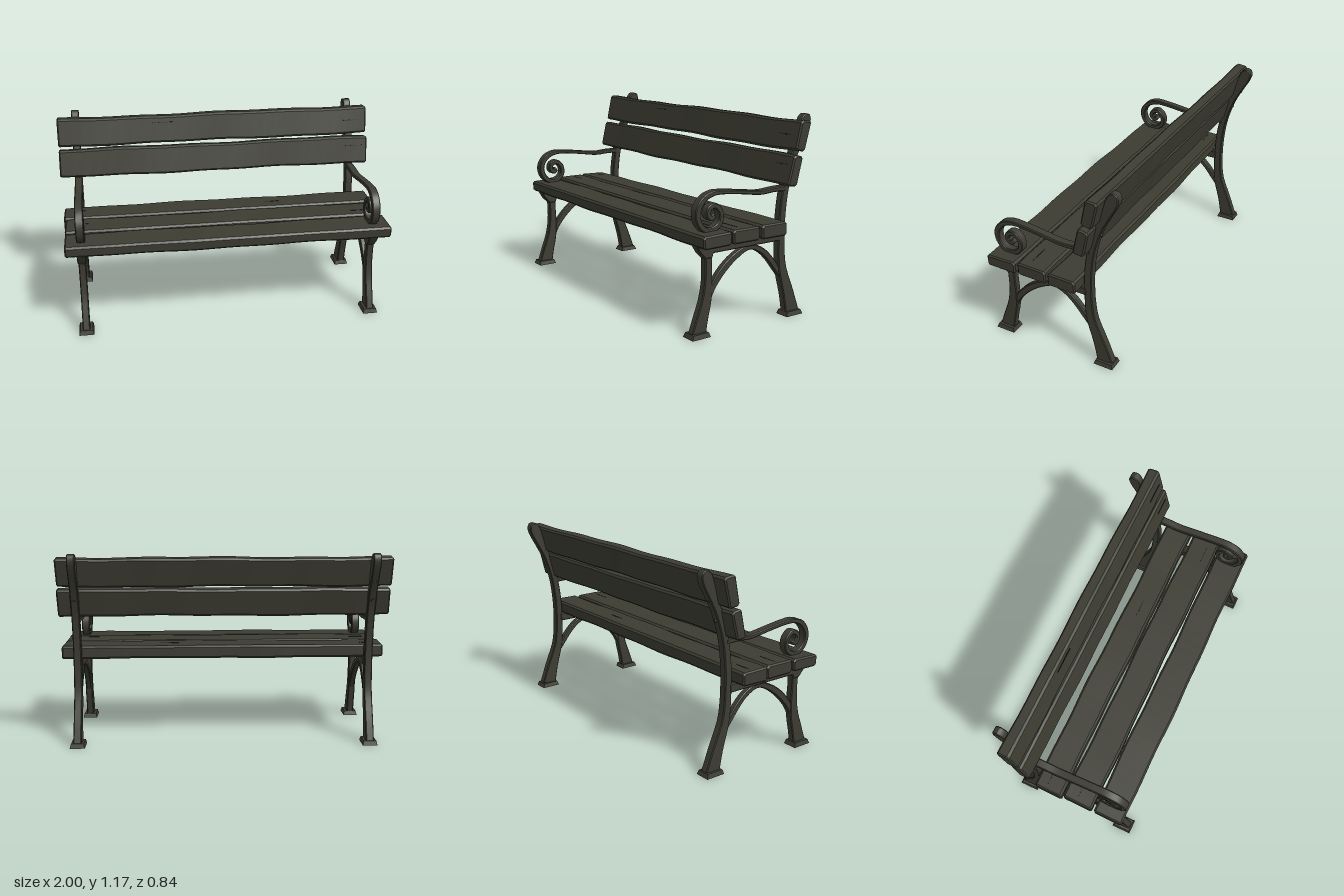
import * as THREE from 'three';
import { toCreasedNormals } from 'three/addons/utils/BufferGeometryUtils.js';

const paint = new THREE.MeshStandardMaterial({ color: 0x3c3c32 });
paint.name = 'weathered olive paint';
const dark = new THREE.MeshStandardMaterial({ color: 0x23231d });
dark.name = 'dark crack';

function addMesh(parent, name, geometry, material = paint) {
  const mesh = new THREE.Mesh(geometry, material);
  mesh.name = name;
  parent.add(mesh);
  return mesh;
}

// Extrude a side outline of [z, y] points along x, centred on x = 0
function sideExtrude(points, width, bevel, steps = 1) {
  const shape = new THREE.Shape(points.map(([z, y]) => new THREE.Vector2(z, y)));
  const depth = width - 2 * bevel;
  const geometry = new THREE.ExtrudeGeometry(shape, {
    depth, steps, bevelEnabled: true, bevelThickness: bevel,
    bevelSize: bevel, bevelOffset: -bevel, bevelSegments: 1,
  });
  geometry.translate(0, 0, -depth / 2);
  geometry.rotateY(-Math.PI / 2);
  return geometry;
}

// Iron bar following [z, y, barWidth] points
function bar(points, thickness, divisions = 28) {
  const curve = new THREE.CatmullRomCurve3(
    points.map(([z, y, w]) => new THREE.Vector3(z, y, w)), false, 'centripetal');
  const left = [], right = [];
  for (let i = 0; i <= divisions; i++) {
    const t = i / divisions;
    const p = curve.getPoint(t), d = curve.getTangent(t);
    const len = Math.hypot(d.x, d.y) || 1;
    const nx = -d.y / len * p.z / 2, ny = d.x / len * p.z / 2;
    left.push([p.x + nx, p.y + ny]);
    right.unshift([p.x - nx, p.y - ny]);
  }
  return toCreasedNormals(sideExtrude([...left, ...right], thickness, 0.005), 0.5);
}

// Rough-hewn plank: chamfered cross-section with wandering edges
function plank(corners, length, seed) {
  const outline = [];
  corners.forEach((c, i) => {
    for (const step of [3, 1]) {
      const n = corners[(i + step) % 4];
      const d = Math.hypot(n[0] - c[0], n[1] - c[1]);
      outline.push([c[0] + (n[0] - c[0]) * 0.012 / d, c[1] + (n[1] - c[1]) * 0.012 / d]);
    }
  });
  const geometry = sideExtrude(outline, length, 0.008, 26);
  const cz = corners.reduce((s, c) => s + c[0], 0) / 4;
  const cy = corners.reduce((s, c) => s + c[1], 0) / 4;
  const pos = geometry.attributes.position;
  for (let i = 0; i < pos.count; i++) {
    const x = pos.getX(i), dy = pos.getY(i) - cy, dz = pos.getZ(i) - cz;
    const phase = seed * 2.3 + (dz - dy > 0 ? 0 : 1.9);
    const k = 0.99 + 0.03 * Math.sin(x * 5.1 + phase) + 0.025 * Math.sin(x * 13 + phase * 2);
    const end = Math.abs(x) > length / 2 - 0.03 ? 0.006 * Math.sin(phase * 3 + x) - 0.006 : 0;
    pos.setXYZ(i, x + Math.sign(x) * end, cy + dy * k, cz + dz * k);
  }
  geometry.computeVertexNormals();
  return toCreasedNormals(geometry, 0.45);
}

// Thin sliver lying on a plank face
function crack(length, width) {
  const shape = new THREE.Shape([
    [-length / 2, 0], [-length * 0.1, -width / 2], [length / 2, width * 0.2], [length * 0.1, width / 2],
  ].map(([x, y]) => new THREE.Vector2(x, y)));
  return new THREE.ExtrudeGeometry(shape, { depth: 0.005, bevelEnabled: false });
}

// One cast-iron end frame
function endFrame() {
  const frame = new THREE.Group();
  addMesh(frame, 'backPost', bar([
    [-0.32, 0.015, 0.1], [-0.285, 0.14, 0.078], [-0.235, 0.29, 0.058], [-0.222, 0.4, 0.05],
    [-0.22, 0.52, 0.047], [-0.225, 0.63, 0.047], [-0.242, 0.75, 0.045], [-0.268, 0.85, 0.045],
    [-0.305, 0.95, 0.047], [-0.342, 1.03, 0.058], [-0.372, 1.1, 0.073], [-0.385, 1.135, 0.07],
    [-0.392, 1.158, 0.045], [-0.394, 1.166, 0.02],
  ], 0.048, 40));
  addMesh(frame, 'frontLeg', bar([
    [0.36, 0.015, 0.095], [0.338, 0.1, 0.08], [0.31, 0.2, 0.066], [0.299, 0.3, 0.052],
    [0.3, 0.4, 0.046], [0.302, 0.48, 0.055],
  ], 0.044));
  addMesh(frame, 'seatRail', sideExtrude([
    [0.385, 0.512], [0.36, 0.47], [0.325, 0.435], [0.28, 0.435], [0.27, 0.46],
    [-0.21, 0.46], [-0.21, 0.512],
  ], 0.054, 0.005));
  addMesh(frame, 'archBrace', bar([
    [0.3, 0.19, 0.03], [0.262, 0.27, 0.038], [0.19, 0.355, 0.042], [0.1, 0.42, 0.038],
    [0.01, 0.452, 0.03], [-0.07, 0.425, 0.034], [-0.14, 0.365, 0.036], [-0.195, 0.295, 0.034],
    [-0.235, 0.24, 0.025],
  ], 0.036));
  addMesh(frame, 'scrollArmrest', bar([
    [-0.24, 0.757, 0.03], [-0.15, 0.757, 0.026], [-0.06, 0.752, 0.025], [0.08, 0.77, 0.023],
    [0.2, 0.784, 0.024], [0.272, 0.784, 0.028], [0.335, 0.758, 0.032], [0.374, 0.7, 0.034],
    [0.368, 0.64, 0.034], [0.325, 0.593, 0.032], [0.265, 0.59, 0.032], [0.222, 0.625, 0.03],
    [0.222, 0.68, 0.03], [0.26, 0.717, 0.03], [0.298, 0.705, 0.03], [0.306, 0.67, 0.03],
    [0.282, 0.653, 0.034], [0.262, 0.668, 0.026],
  ], 0.05, 72));
  // Flared foot plates
  for (const [name, z] of [['frontFoot', 0.36], ['backFoot', -0.318]]) {
    const geometry = new THREE.CylinderGeometry(0.6, 0.7071, 1, 4).rotateY(Math.PI / 4);
    geometry.scale(0.09, 0.026, 0.122).translate(0, 0.013, z);
    addMesh(frame, name, geometry.toNonIndexed()).geometry.computeVertexNormals();
  }
  // Bolt heads behind the back planks
  for (const [y, z] of [[0.88, -0.301], [1.0, -0.353]]) {
    const bolt = addMesh(frame, 'bolt', new THREE.CylinderGeometry(0.009, 0.012, 0.014, 8));
    bolt.position.set(0, y, z);
    bolt.rotation.x = -Math.PI / 2 - 0.35;
  }
  return frame;
}

export function createModel() {
  const bench = new THREE.Group();
  bench.name = 'bench';

  for (const [name, x] of [['leftFrame', 0.886], ['rightFrame', -0.886]]) {
    const frame = endFrame();
    frame.name = name;
    frame.position.x = x;
    bench.add(frame);
  }

  // Planks as [z, y] corners
  const planks = [
    ['seatPlankFront', 1.98, [[0.4, 0.58], [0.395, 0.508], [0.208, 0.51], [0.208, 0.583]]],
    ['seatPlankMiddle', 1.97, [[0.196, 0.588], [0.194, 0.508], [0.006, 0.508], [0.006, 0.587]]],
    ['seatPlankRear', 1.98, [[-0.007, 0.588], [-0.006, 0.508], [-0.187, 0.508], [-0.185, 0.588]]],
    ['backPlankLower', 2.0, [[-0.22, 0.958], [-0.18, 0.786], [-0.248, 0.78], [-0.288, 0.946]]],
    ['backPlankUpper', 2.0, [[-0.27, 1.143], [-0.23, 0.974], [-0.303, 0.962], [-0.345, 1.135]]],
  ];
  planks.forEach(([name, length, corners], i) => addMesh(bench, name, plank(corners, length, i + 1)));

  // Splits in the wood: x, y, z, tilt, length, width
  const flat = -Math.PI / 2, lean = -0.233;
  for (const [x, y, z, tilt, length, width] of [
    [0.34, 0.584, -0.09, flat, 0.13, 0.009],
    [-0.9, 0.584, -0.11, flat, 0.1, 0.007],
    [-0.88, 0.584, 0.09, flat, 0.12, 0.006],
    [0.86, 0.584, 0.13, flat, 0.14, 0.006],
    [0.88, 1.06, -0.2525, lean, 0.14, 0.008],
    [-0.35, 1.1, -0.262, lean, 0.16, 0.006],
    [0.9, 0.9, -0.2085, lean, 0.12, 0.007],
  ]) {
    const split = addMesh(bench, 'crack', crack(length, width), dark);
    split.position.set(x, y, z);
    split.rotation.x = tilt;
  }
  return bench;
}
